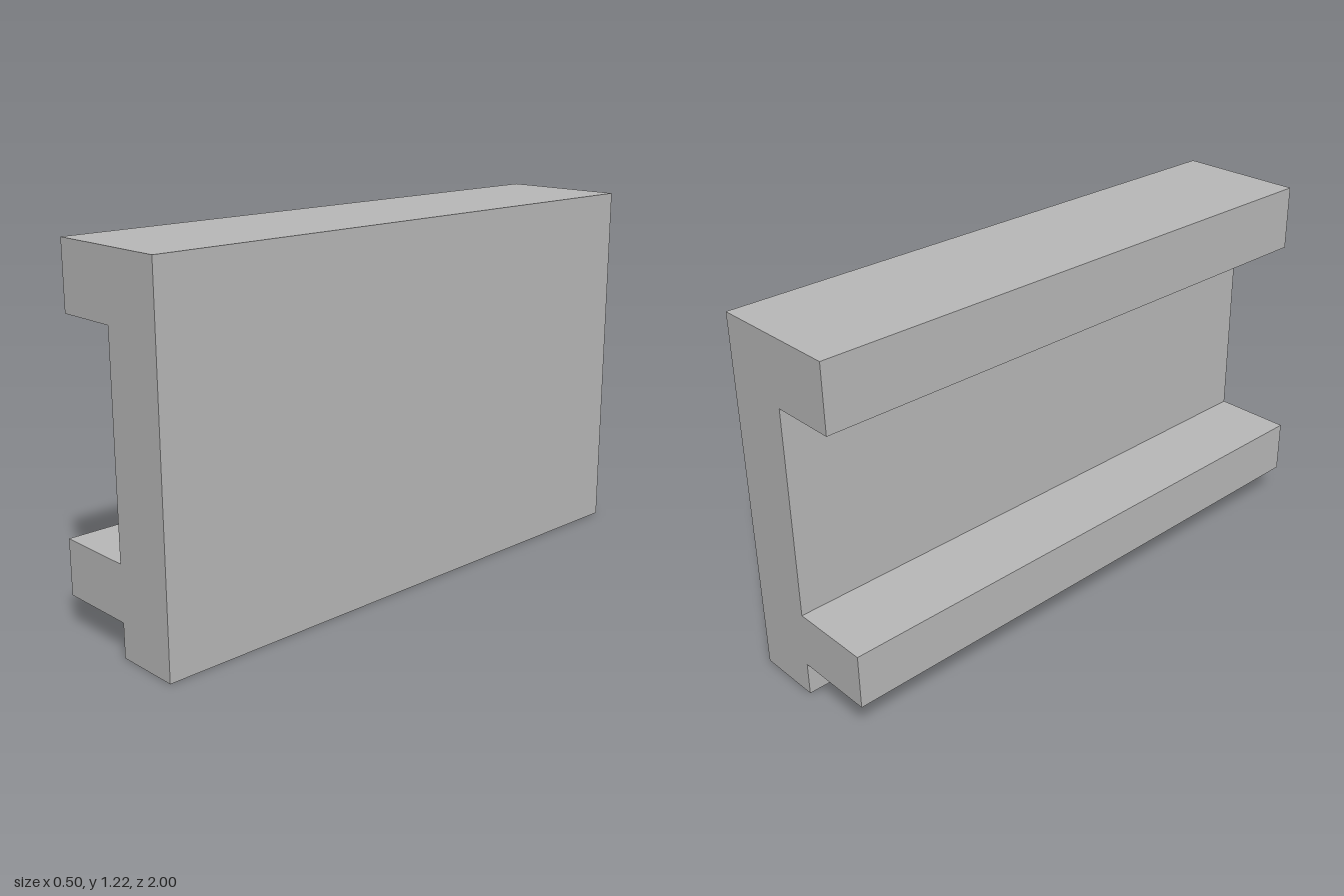
import * as THREE from 'three';

export function createModel() {
  const group = new THREE.Group();
  group.name = 'railProfile';

  const grey = new THREE.MeshStandardMaterial({ color: 0xb8b8b8 });
  grey.name = 'plain grey';

  // Cross-section: upright web, deep top flange and longer lower ledge
  const right = 0.25, web = 0.026, flange = -0.194, ledge = -0.25;
  const top = 1.223, length = 2;
  const section = new THREE.Shape([
    [web, 0], [right, 0], [right, top], [flange, top], [flange, 1.002],
    [web, 1.002], [web, 0.298], [ledge, 0.298], [ledge, 0.113], [web, 0.113],
  ].map(([x, y]) => new THREE.Vector2(x, y)));

  // Extruded along z and centred
  const geometry = new THREE.ExtrudeGeometry(section, { depth: length, bevelEnabled: false });
  geometry.translate(0, 0, -length / 2);

  const rail = new THREE.Mesh(geometry, grey);
  rail.name = 'rail';
  group.add(rail);
  return group;
}
